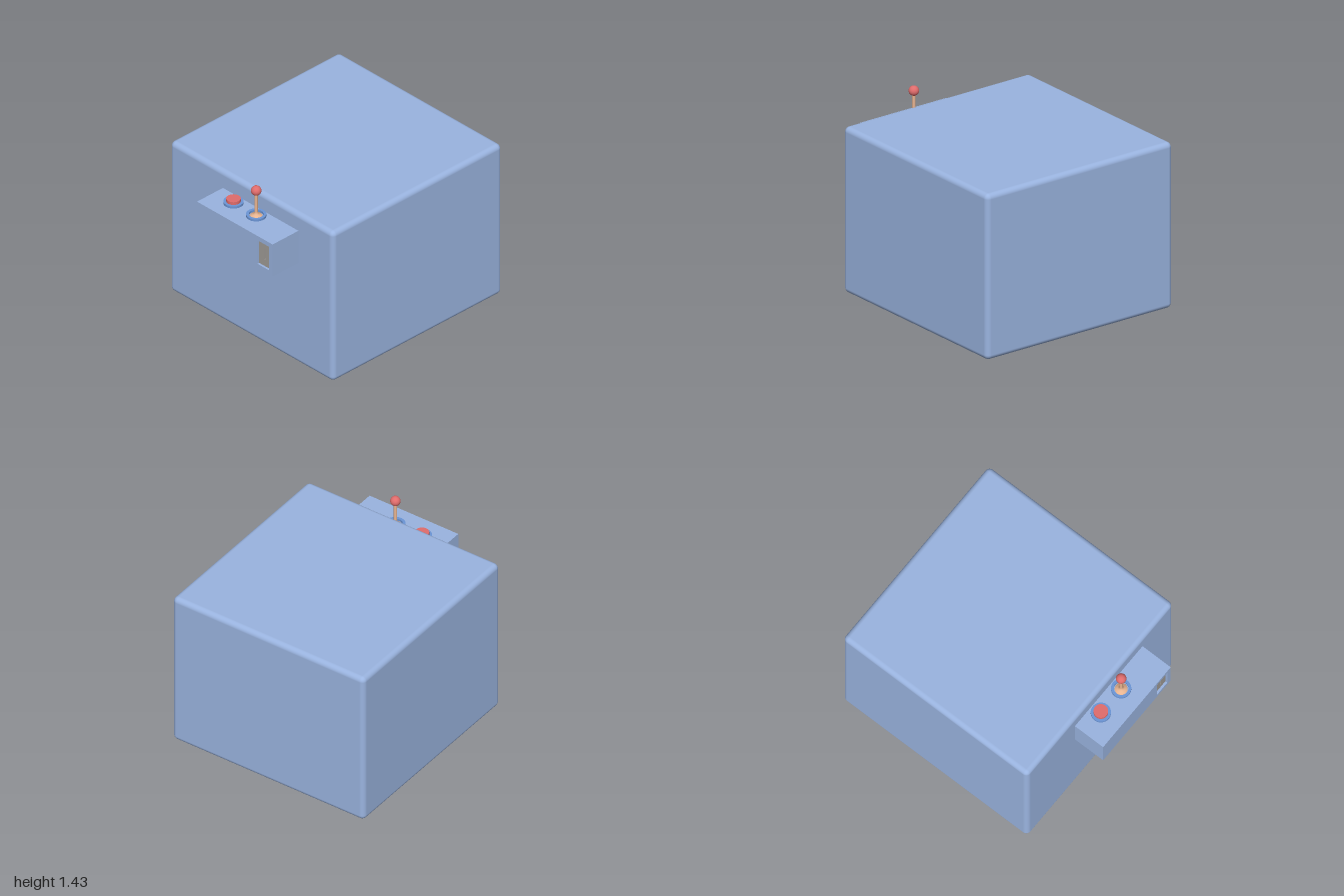
import * as THREE from 'three';
import { RoundedBoxGeometry } from 'three/addons/geometries/RoundedBoxGeometry.js';

const material = (color, side = THREE.FrontSide) => new THREE.MeshStandardMaterial({ color, side });
const BLUE = material(0x9ab4e0);
const RING = material(0x6b95d6, THREE.DoubleSide);
const RED = material(0xe06c6c);
const TAN = material(0xe8b490, THREE.DoubleSide);
const GREY = material(0xa09c98);

function add(parent, name, geometry, mat, x = 0, y = 0, z = 0) {
  const mesh = new THREE.Mesh(geometry, mat);
  mesh.name = name;
  mesh.position.set(x, y, z);
  parent.add(mesh);
  return mesh;
}

// Rectangle path from opposite corners
function rect(path, x0, y0, x1, y1) {
  path.moveTo(x0, y0);
  path.lineTo(x1, y0);
  path.lineTo(x1, y1);
  path.lineTo(x0, y1);
  path.closePath();
  return path;
}

// Flat slab with a rectangular opening
function framedSlab(outer, opening, depth) {
  const shape = rect(new THREE.Shape(), ...outer);
  shape.holes.push(rect(new THREE.Path(), ...opening));
  return new THREE.ExtrudeGeometry(shape, { depth, bevelEnabled: false });
}

// Each profile segment gets its own lathe so its edges stay sharp
function sharpLathe(parent, name, profile, mat, x, y, z) {
  const group = new THREE.Group();
  group.name = name;
  group.position.set(x, y, z);
  for (let i = 0; i < profile.length - 1; i++) {
    const points = [profile[i], profile[i + 1]].map(([r, h]) => new THREE.Vector2(r, h));
    add(group, name + 'Face', new THREE.LatheGeometry(points, 40), mat);
  }
  parent.add(group);
}

export function createModel() {
  const model = new THREE.Group();
  model.name = 'cabinetWithControls';

  // Large soft-edged cabinet
  add(model, 'cabinetBody', new RoundedBoxGeometry(1.73, 1.315, 1.735, 5, 0.04), BLUE, 0, 0.6575, -0.1325);

  // Control box with a recessed window in its front
  const controls = new THREE.Group();
  controls.name = 'controlBox';
  model.add(controls);
  const recess = 0.03, top = 1.168, bottom = 0.885;
  const front = 1 - recess, back = 0.72;
  add(controls, 'boxCore', new THREE.BoxGeometry(0.8, top - bottom, front - back), BLUE,
    0.1, (top + bottom) / 2, (front + back) / 2);
  const windowRect = [0.34, 0.923, 0.46, 1.13];
  add(controls, 'boxFront', framedSlab([-0.3, bottom, 0.5, top], windowRect, recess), BLUE, 0, 0, front);

  // Slotted plate inside the window
  add(controls, 'slotPlate', framedSlab(windowRect, [0.395, 0.982, 0.405, 1.07], 0.012), GREY, 0, 0, front);
  add(controls, 'slotBack', new THREE.PlaneGeometry(0.01, 0.088), material(0x55555a), 0.4, 1.026, front + 0.001);

  // Collars under the button and the stick
  const collar = [[0.054, 0], [0.075, 0], [0.075, 0.018], [0.054, 0.018], [0.054, 0]];
  for (const [name, x] of [['buttonCollar', -0.1], ['stickCollar', 0.14]]) {
    sharpLathe(controls, name, collar, RING, x, top, 0.82);
  }

  // Push button
  add(controls, 'button', new THREE.CylinderGeometry(0.054, 0.054, 0.042, 40), RED, -0.1, top + 0.021, 0.82);

  // Stick with flared foot and ball knob
  const stick = [[0.048, 0.001], [0.044, 0.008], [0.026, 0.016], [0.016, 0.025], [0.012, 0.04], [0.012, 0.2]];
  add(controls, 'stickShaft', new THREE.LatheGeometry(stick.map(([r, h]) => new THREE.Vector2(r, h)), 28), TAN,
    0.14, top, 0.82);
  add(controls, 'stickKnob', new THREE.SphereGeometry(0.039, 32, 20), RED, 0.14, 1.392, 0.82);

  return model;
}
